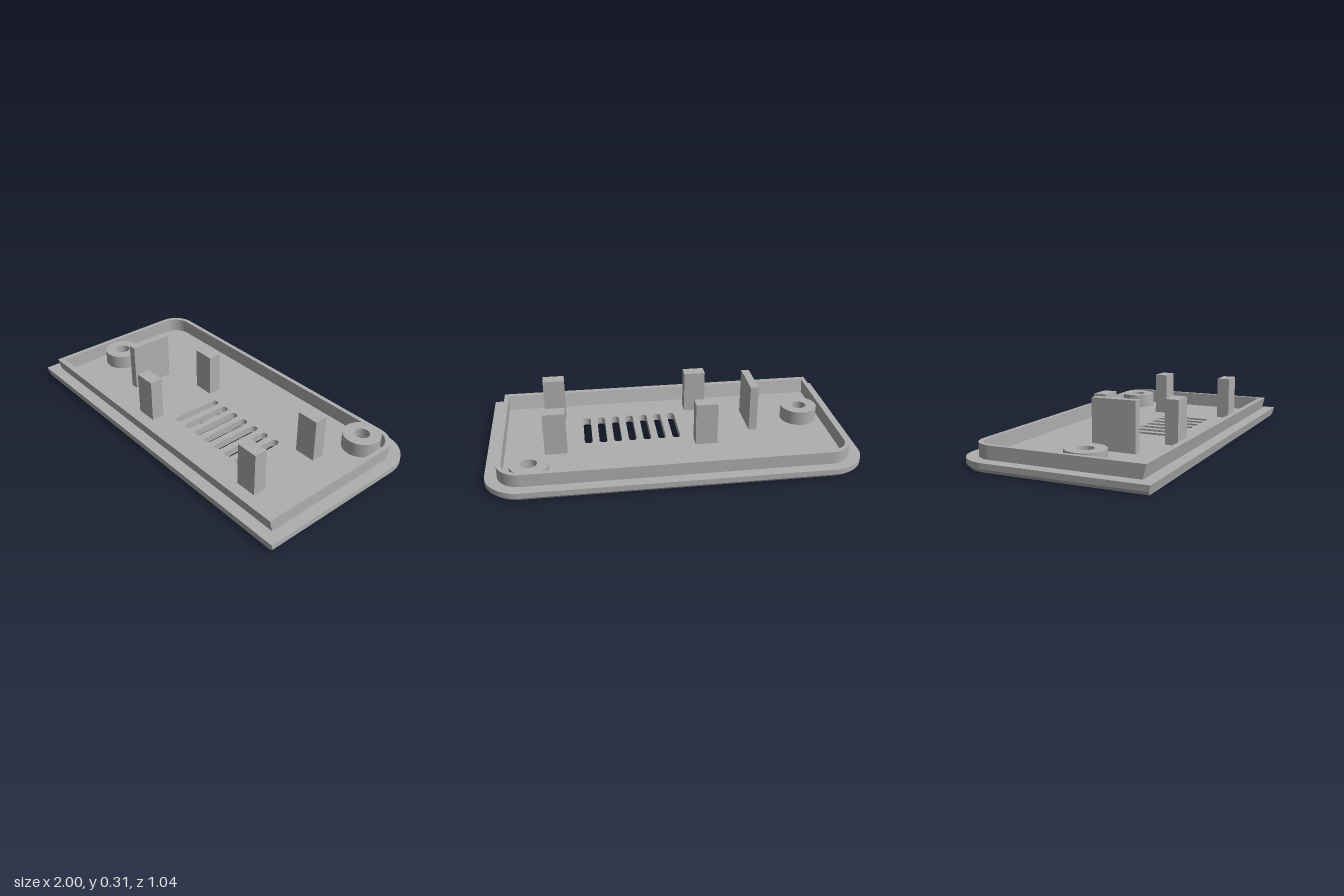
import * as THREE from 'three';
import { toCreasedNormals } from 'three/addons/utils/BufferGeometryUtils.js';

const SLOPE = 0.257; // lean of the front faces
const R = 0.19; // plate corner radius
const CHAMFER = 0.02;

// Outline with two rounded back corners; shape y is -z
function outline(w, back, front, r) {
  const s = new THREE.Shape();
  s.moveTo(-w, -front);
  s.lineTo(w, -front);
  s.lineTo(w, -back - r);
  s.absarc(w - r, -back - r, r, 0, Math.PI / 2, false);
  s.lineTo(-w + r, -back);
  s.absarc(-w + r, -back - r, r, Math.PI / 2, Math.PI, false);
  s.closePath();
  return s;
}

function slot(x, z0, z1, r) {
  const p = new THREE.Path();
  p.absarc(x, -z0 - r, r, 0, Math.PI, false);
  p.absarc(x, -z1 + r, r, Math.PI, Math.PI * 2, false);
  p.closePath();
  return p;
}

function circle(x, z, r) {
  return new THREE.Path().absarc(x, -z, r, 0, Math.PI * 2, false);
}

// Upright extrusion from y0 to y1 with leaning front and optional bottom chamfer
function layer(shape, y0, y1, chamfer = false) {
  const g = new THREE.ExtrudeGeometry(shape, { depth: y1 - y0, bevelEnabled: false, curveSegments: 16 });
  g.rotateX(-Math.PI / 2).translate(0, y0, 0);
  const p = g.attributes.position;
  for (let i = 0; i < p.count; i++) {
    let x = p.getX(i), z = p.getZ(i);
    const y = p.getY(i);
    if (chamfer && y < 0.001) {
      const cx = THREE.MathUtils.clamp(x, -1 + R, 1 - R), cz = Math.max(z, -0.52 + R);
      if (Math.hypot(x - cx, z - cz) > R - 0.01) {
        const k = (R - CHAMFER) / R;
        x = cx + (x - cx) * k;
        z = cz + (z - cz) * k;
      }
    }
    if (z > 0.4) z += SLOPE * (y - 0.05);
    p.setXYZ(i, x, y, z);
  }
  return toCreasedNormals(g, 0.5);
}

export function createModel() {
  const model = new THREE.Group();
  model.name = 'enclosureCover';
  const plastic = new THREE.MeshStandardMaterial({ color: 0xaeaeae });
  plastic.name = 'grey plastic';

  const add = (name, geometry) => {
    const mesh = new THREE.Mesh(geometry, plastic);
    mesh.name = name;
    model.add(mesh);
    return mesh;
  };

  const bosses = [
    { name: 'leftScrewBoss', x: -0.787, z: 0.097, r: 0.103 },
    { name: 'cornerScrewBoss', x: 0.767, z: -0.357, r: 0.102 },
  ];
  const plate = () => outline(1, -0.52, 0.52, R);
  const inner = () => outline(0.91, -0.435, 0.423, 0.1);

  // Floor plate with vents and screw recesses
  const floor = plate();
  for (let i = 0; i < 7; i++) floor.holes.push(slot(-0.043 + i * 0.0826, -0.05, 0.247, 0.022));
  for (const b of bosses) floor.holes.push(circle(b.x, b.z, 0.08));
  add('chamferedBase', layer(floor, 0, CHAMFER, true));
  add('floorPlate', layer(floor, CHAMFER, 0.04));

  // Ledge and raised rim
  const ledge = plate();
  ledge.holes.push(inner());
  add('ledge', layer(ledge, 0.04, 0.05));
  const rim = outline(0.935, -0.46, 0.455, 0.125);
  rim.holes.push(inner());
  add('rim', layer(rim, 0.05, 0.12));

  // Screw bosses, counterbored from below
  for (const b of bosses) {
    const profile = [[b.r, 0.04], [b.r, 0.12], [0.042, 0.12], [0.042, 0.08], [0.08, 0.08], [0.08, 0.04]]
      .map(([r, y]) => new THREE.Vector2(r, y));
    add(b.name, toCreasedNormals(new THREE.LatheGeometry(profile, 48), 0.5)).position.set(b.x, 0, b.z);
  }

  // Four support posts and one upright tab
  const block = (name, x, z, w, d, top) =>
    add(name, new THREE.BoxGeometry(w, top - 0.03, d)).position.set(x, (top + 0.03) / 2, z);
  for (const x of [-0.195, 0.633])
    for (const z of [-0.107, 0.307]) block('supportPost', x, z, 0.122, 0.073, 0.28);
  block('uprightTab', -0.486, 0.1, 0.045, 0.242, 0.307);

  return model;
}
